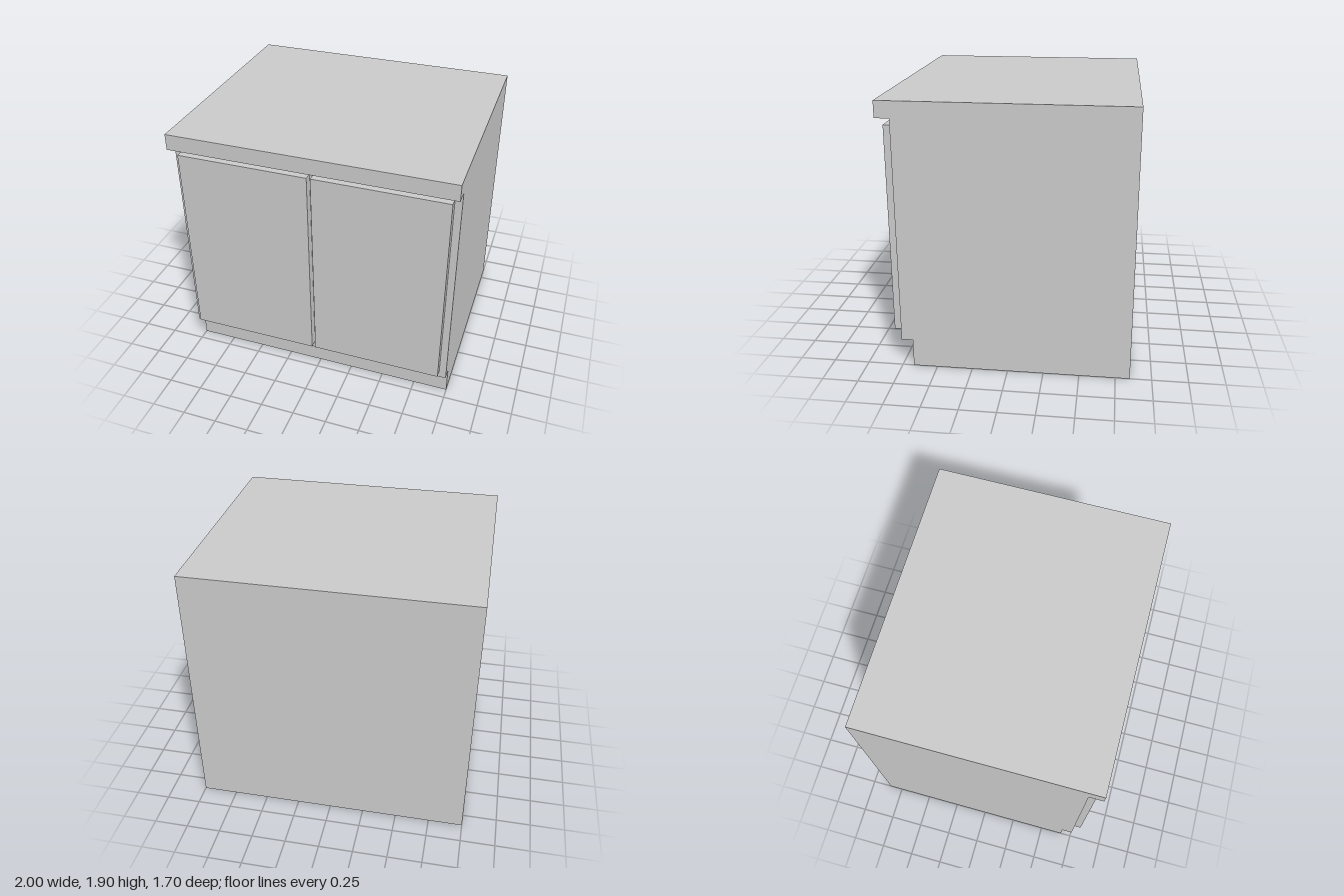
import * as THREE from 'three';

const WIDTH = 2;
const material = new THREE.MeshStandardMaterial({ color: 0xcccccc, flatShading: true });

export function createModel() {
  const model = new THREE.Group();
  model.name = 'baseCabinet';

  // Carcass: side profile (z, y) with toe kick and overhanging worktop
  const profile = new THREE.Shape([
    [-0.85, 0], [0.67, 0], [0.67, 0.2], [0.75, 0.2],
    [0.75, 1.785], [0.85, 1.785], [0.85, 1.9], [-0.85, 1.9],
  ].map(([z, y]) => new THREE.Vector2(z, y)));
  const carcassGeometry = new THREE.ExtrudeGeometry(profile, { depth: WIDTH, bevelEnabled: false });
  carcassGeometry.translate(0, 0, -WIDTH / 2).rotateY(-Math.PI / 2);
  const carcass = new THREE.Mesh(carcassGeometry, material);
  carcass.name = 'carcass';
  model.add(carcass);

  // Pair of slab doors with a narrow gap between them
  const inner = 0.013, outer = 0.95, bottom = 0.255, top = 1.73, thickness = 0.06;
  const doorGeometry = new THREE.BoxGeometry(outer - inner, top - bottom, thickness);
  for (const [name, side] of [['leftDoor', 1], ['rightDoor', -1]]) {
    const door = new THREE.Mesh(doorGeometry, material);
    door.name = name;
    door.position.set(side * (inner + outer) / 2, (bottom + top) / 2, 0.75 + thickness / 2);
    model.add(door);
  }

  return model;
}
